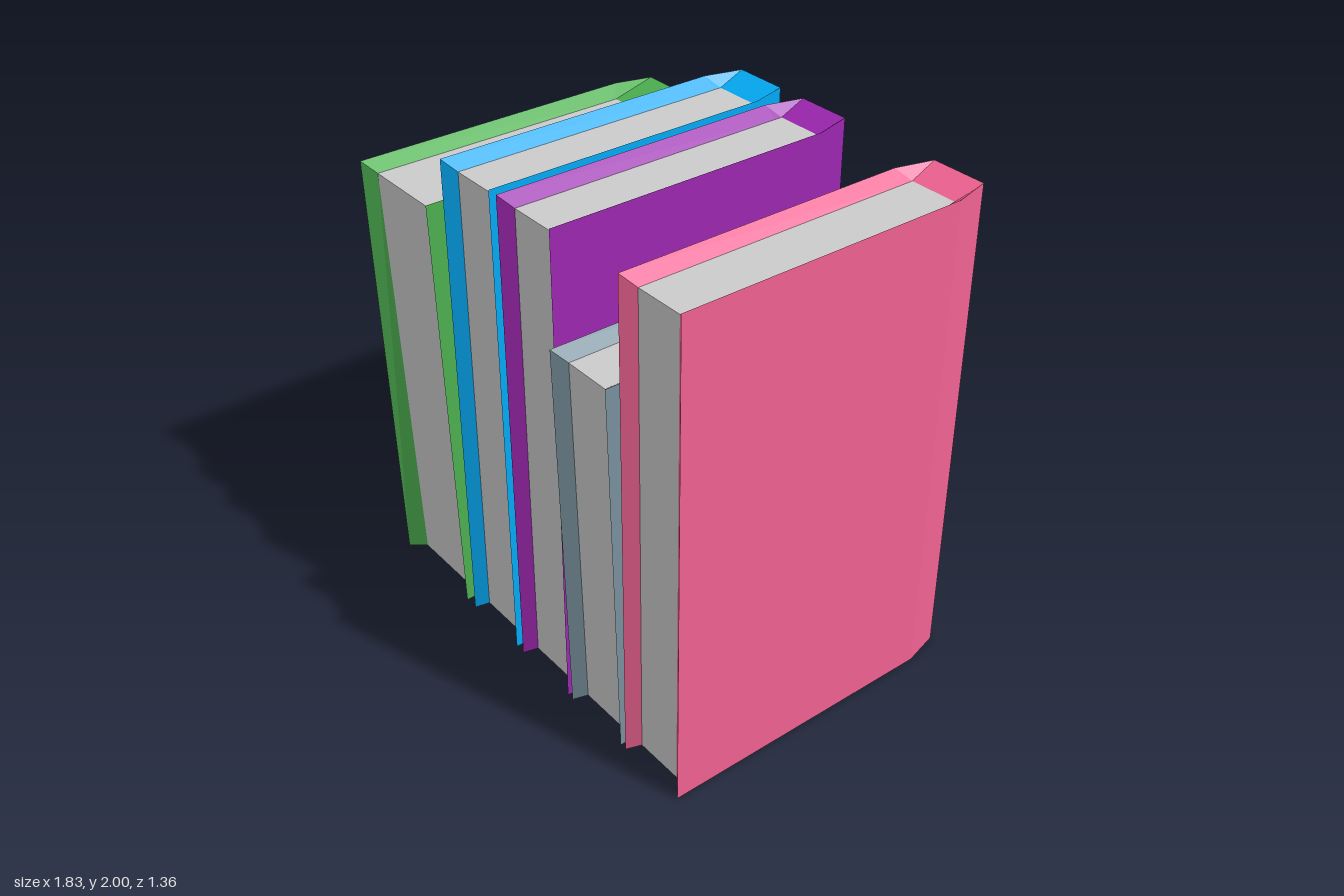
import * as THREE from 'three';

const LIP = 0.04;      // how far the cover stands proud of the pages
const FRONT = 0.64, SHOULDER = -0.53, SPINE = -0.68;

// x: cover sides, inset: page inset, lean: forward shift at the top
const BOOKS = [
  { name: 'greenBook', color: 0x4caf50, x: [-0.915, -0.46], h: 1.81, lean: 0.037,
    pageLeft: [-0.82, -0.86], pageBack: [-0.565, -0.49] },
  { name: 'blueBook', color: 0x03a9f4, x: [-0.4, -0.1], h: 2 },
  { name: 'purpleBook', color: 0x9c27b0, x: [-0.055, 0.247], h: 2 },
  { name: 'greyBook', color: 0x78909c, x: [0.277, 0.58], h: 1.58, lean: 0.037 },
  { name: 'pinkBook', color: 0xf06292, x: [0.608, 0.913], h: 2 },
];

function makeBook({ name, color, x: [x0, x1], h, lean = 0, pageLeft, pageBack = [-0.565, -0.565] }) {
  const inset = 0.052;
  const left = pageLeft || [x0 + inset, x0 + inset];
  const right = x1 - inset;
  const point = (x, y, z) => [x, y, z + lean * y / h];

  // cover outline and page outline, from front left round the spine to front right
  const outer = [0, 1].map(t => [
    [x0, FRONT], [x0, SHOULDER], [x0 + 0.04, SPINE],
    [x1 - 0.04, SPINE], [x1, SHOULDER], [x1, FRONT],
  ].map(([x, z]) => point(x, t * h, z)));
  const inner = [0, 1].map(t => {
    const l = left[t], b = pageBack[t];
    return [
      [l, FRONT - 0.037], [l, b + 0.03], [l, b],
      [right, b], [right, b + 0.03], [right, FRONT - 0.037],
    ].map(([x, z]) => point(x, t ? h - LIP : LIP, z));
  });

  const verts = [];
  const quad = (a, b, c, d) => verts.push(...a, ...b, ...c, ...a, ...c, ...d);
  const [ob, ot] = outer, [ib, it] = inner;
  for (let i = 0; i < 5; i++) {
    const j = i + 1;
    quad(ob[i], ot[i], ot[j], ob[j]);   // outside of boards and spine
    quad(ot[i], it[i], it[j], ot[j]);   // top rim
    quad(ob[i], ob[j], ib[j], ib[i]);   // bottom rim
  }
  quad(ob[0], ib[0], it[0], ot[0]);     // front edge of left board
  quad(ob[5], ot[5], it[5], ib[5]);     // front edge of right board
  const coverGeo = new THREE.BufferGeometry();
  coverGeo.setAttribute('position', new THREE.Float32BufferAttribute(verts, 3));
  coverGeo.computeVertexNormals();
  const cover = new THREE.Mesh(coverGeo, new THREE.MeshStandardMaterial({ color, flatShading: true }));
  cover.name = 'cover';

  // page block: a box with its corners moved onto the page outline
  const pageGeo = new THREE.BoxGeometry(1, 1, 1);
  const p = pageGeo.attributes.position;
  for (let i = 0; i < p.count; i++) {
    const ring = inner[p.getY(i) > 0 ? 1 : 0];
    const isLeft = p.getX(i) < 0, isFront = p.getZ(i) > 0;
    p.setXYZ(i, ...ring[isFront ? (isLeft ? 0 : 5) : (isLeft ? 2 : 3)]);
  }
  pageGeo.computeVertexNormals();
  const pages = new THREE.Mesh(pageGeo, new THREE.MeshStandardMaterial({ color: 0xcccccc, flatShading: true }));
  pages.name = 'pages';

  const book = new THREE.Group();
  book.name = name;
  book.add(cover, pages);
  return book;
}

export function createModel() {
  const model = new THREE.Group();
  model.name = 'rowOfBooks';
  BOOKS.forEach(b => model.add(makeBook(b)));
  return model;
}
